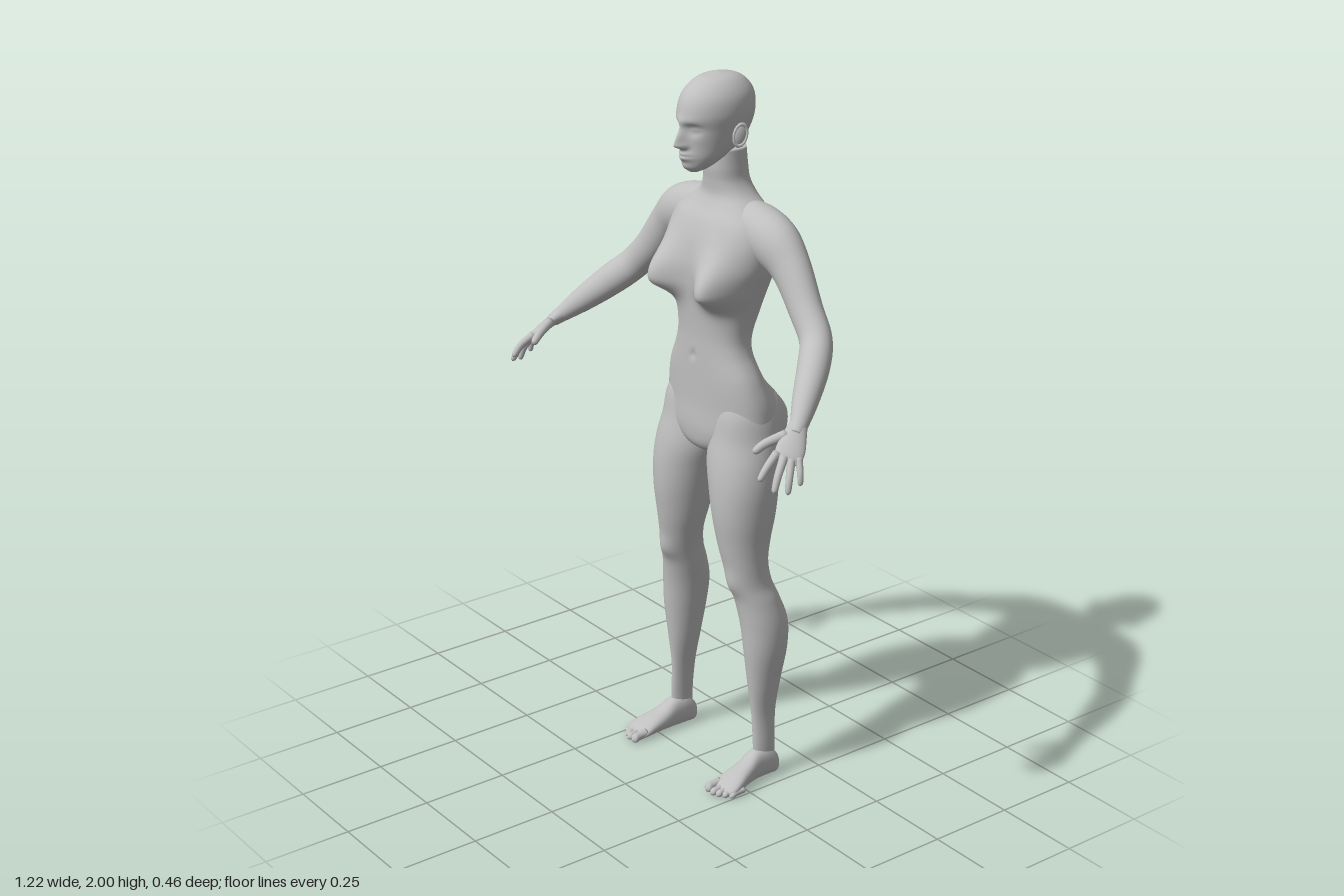
import * as THREE from 'three';

const skin = new THREE.MeshStandardMaterial({ color: 0xbfbfbf });
skin.name = 'skin grey';
const X = new THREE.Vector3(1, 0, 0), Y = new THREE.Vector3(0, 1, 0), Z = new THREE.Vector3(0, 0, 1);

// Smooth skin through elliptical rings [x, y, z, a, b]; b runs along ref, a across it.
function loft(rings, { axis = null, ref = Z, segs = 32, steps = 6, power = 2 } = {}) {
  const path = new THREE.CatmullRomCurve3(rings.map(r => new THREE.Vector3(r[0], r[1], r[2])), false, 'catmullrom');
  const size = new THREE.CatmullRomCurve3(rings.map(r => new THREE.Vector3(r[3], r[4], 0)), false, 'catmullrom');
  const n = (rings.length - 1) * steps, pos = [], idx = [];
  const bend = c => Math.sign(c) * Math.pow(Math.abs(c), 2 / power);
  for (let i = 0; i <= n; i++) {
    const c = path.getPoint(i / n), s = size.getPoint(i / n);
    const t = axis || path.getTangent(i / n);
    const v = ref.clone().addScaledVector(t, -ref.dot(t)).normalize();
    const u = v.clone().cross(t);
    for (let j = 0; j < segs; j++) {
      const w = j / segs * Math.PI * 2;
      const p = c.clone().addScaledVector(u, Math.max(s.x, 0.001) * bend(Math.cos(w)))
        .addScaledVector(v, Math.max(s.y, 0.001) * bend(Math.sin(w)));
      pos.push(p.x, p.y, p.z);
      if (i < n) {
        const a = i * segs + j, b = i * segs + (j + 1) % segs;
        idx.push(a, b, b + segs, a, b + segs, a + segs);
      }
    }
  }
  // Close both ends
  const base = pos.length / 3, last = n * segs;
  pos.push(...path.getPoint(0).toArray(), ...path.getPoint(1).toArray());
  for (let j = 0; j < segs; j++) {
    const k = (j + 1) % segs;
    idx.push(base, k, j, base + 1, last + j, last + k);
  }
  const geo = new THREE.BufferGeometry();
  geo.setAttribute('position', new THREE.Float32BufferAttribute(pos, 3));
  geo.setIndex(idx);
  geo.computeVertexNormals();
  return geo;
}

// Horizontal ring from its left/right and back/front limits
const ring = (y, x0, x1, back, front) => [(x0 + x1) / 2, y, (back + front) / 2, (x1 - x0) / 2, (front - back) / 2];
const midRing = (y, half, back, front) => ring(y, -half, half, back, front);

// Soft mirrored swellings: centre, size [x, up, down, z], push
function sculpt(geo, bumps) {
  const p = geo.attributes.position;
  for (const { at, size, push } of bumps) {
    for (let i = 0; i < p.count; i++) {
      const x = p.getX(i), y = p.getY(i), z = p.getZ(i);
      const dx = (Math.abs(x) - at[0]) / size[0], dz = (z - at[2]) / size[3];
      const dy = (y - at[1]) / (y > at[1] ? size[1] : size[2]);
      const k = Math.exp(-dx * dx - dy * dy - dz * dz);
      p.setXYZ(i, x + Math.sign(x) * k * push[0], y + k * push[1], z + k * push[2]);
    }
  }
  geo.computeVertexNormals();
  return geo;
}

function mirrored(geo) {
  const g = geo.clone().scale(-1, 1, 1), a = g.index.array;
  for (let i = 0; i < a.length; i += 3) [a[i], a[i + 1]] = [a[i + 1], a[i]];
  g.computeVertexNormals();
  return g;
}

export function createModel() {
  const body = new THREE.Group();
  body.name = 'figure';
  const add = (name, geo) => {
    const m = new THREE.Mesh(geo, skin);
    m.name = name;
    body.add(m);
  };
  const pair = (name, geo) => {
    add('left ' + name, geo);
    add('right ' + name, mirrored(geo));
  };
  const glutes = { at: [0.087, 1.05, -0.18], size: [0.065, 0.085, 0.08, 0.1], push: [0, 0, -0.052] };

  // Torso and neck
  add('torso', sculpt(loft([
    midRing(0.94, 0.015, -0.1, -0.05), midRing(0.97, 0.1, -0.15, 0),
    midRing(1.02, 0.182, -0.18, 0.014), midRing(1.1, 0.19, -0.182, 0.012),
    midRing(1.18, 0.168, -0.15, 0.012), midRing(1.25, 0.132, -0.135, 0.012),
    midRing(1.3, 0.123, -0.142, 0.012), midRing(1.37, 0.135, -0.167, 0.016),
    midRing(1.44, 0.158, -0.187, 0.02), midRing(1.5, 0.178, -0.197, 0.022),
    midRing(1.56, 0.182, -0.198, 0.013), midRing(1.61, 0.165, -0.192, -0.005),
    midRing(1.645, 0.125, -0.183, -0.028), midRing(1.675, 0.085, -0.172, -0.042),
    midRing(1.71, 0.063, -0.16, -0.042), midRing(1.75, 0.058, -0.155, -0.038),
    midRing(1.8, 0.055, -0.15, -0.04),
  ], { axis: Y, segs: 96, steps: 8, power: 2.2 }), [
    glutes,
    { at: [0.1, 1.44, 0.01], size: [0.056, 0.085, 0.045, 0.09], push: [0.014, -0.005, 0.075] }, // bust
    { at: [0.085, 1.53, -0.19], size: [0.05, 0.07, 0.08, 0.06], push: [0, 0, -0.008] }, // shoulder blades
    { at: [0, 1.38, -0.17], size: [0.025, 0.2, 0.22, 0.06], push: [0, 0, 0.01] }, // spine furrow
    { at: [0, 1.235, 0.012], size: [0.008, 0.012, 0.01, 0.03], push: [0, 0, -0.007] }, // navel
  ]));

  // Head with sculpted face
  add('head', sculpt(loft([
    midRing(1.745, 0.012, -0.01, 0.018), midRing(1.758, 0.034, -0.04, 0.031),
    midRing(1.785, 0.054, -0.09, 0.038), midRing(1.82, 0.067, -0.14, 0.04),
    midRing(1.86, 0.077, -0.168, 0.043), midRing(1.9, 0.084, -0.178, 0.047),
    midRing(1.94, 0.08, -0.175, 0.036), midRing(1.97, 0.064, -0.157, 0.012),
    midRing(1.99, 0.04, -0.127, -0.022), midRing(2, 0.002, -0.077, -0.07),
  ], { axis: Y, segs: 128, steps: 10 }), [
    { at: [0, 1.885, 0.045], size: [0.05, 0.012, 0.012, 0.04], push: [0, 0, 0.004] }, // brow
    { at: [0.032, 1.866, 0.035], size: [0.02, 0.012, 0.016, 0.04], push: [0, 0, -0.013] }, // eye sockets
    { at: [0.033, 1.865, 0.022], size: [0.014, 0.008, 0.008, 0.03], push: [0, 0, 0.007] }, // closed eyes
    { at: [0, 1.822, 0.045], size: [0.012, 0.042, 0.011, 0.05], push: [0, 0, 0.03] }, // nose
    { at: [0.011, 1.819, 0.045], size: [0.008, 0.01, 0.007, 0.05], push: [0, 0, 0.009] }, // nostrils
    { at: [0, 1.791, 0.04], size: [0.024, 0.014, 0.014, 0.04], push: [0, 0, 0.014] }, // lips
    { at: [0, 1.792, 0.05], size: [0.024, 0.0035, 0.0035, 0.03], push: [0, 0, -0.006] }, // mouth line
    { at: [0, 1.762, 0.03], size: [0.022, 0.012, 0.012, 0.04], push: [0, 0, 0.006] }, // chin
  ]));

  // Ears: a flat shell with a raised rim
  const tilt = g => g.rotateX(-0.2).rotateY(-0.35).translate(0.086, 1.847, -0.077);
  pair('ear', tilt(new THREE.SphereGeometry(1, 20, 14).scale(0.008, 0.03, 0.018)));
  pair('ear rim', tilt(new THREE.TorusGeometry(0.026, 0.005, 8, 28).rotateY(Math.PI / 2)
    .scale(1, 1.1, 0.68).translate(0.004, 0, 0)));

  // Arms, shoulder to wrist
  pair('arm', loft([
    [0.03, 1.6, -0.115, 0.05, 0.05], [0.08, 1.598, -0.115, 0.067, 0.066],
    [0.14, 1.588, -0.115, 0.074, 0.068], [0.205, 1.568, -0.112, 0.071, 0.062],
    [0.265, 1.52, -0.11, 0.058, 0.05], [0.335, 1.435, -0.1, 0.049, 0.043],
    [0.395, 1.372, -0.085, 0.046, 0.042], [0.44, 1.323, -0.042, 0.045, 0.042],
    [0.488, 1.265, 0.022, 0.036, 0.035], [0.526, 1.218, 0.075, 0.023, 0.024],
    [0.54, 1.2, 0.098, 0.018, 0.02],
  ], { segs: 48, steps: 8 }));

  // Palms
  pair('palm', loft([
    [0.515, 1.231, 0.06, 0.02, 0.02], [0.526, 1.218, 0.077, 0.02, 0.024],
    [0.541, 1.198, 0.101, 0.016, 0.031], [0.556, 1.175, 0.125, 0.014, 0.037],
    [0.566, 1.158, 0.143, 0.011, 0.035], [0.57, 1.15, 0.151, 0.003, 0.028],
  ], { ref: new THREE.Vector3(0.62, -0.15, -0.77) }));

  // Fingers: knuckle, middle joint, tip, radius
  const digits = {
    thumb: [[0.527, 1.203, 0.115], [0.506, 1.184, 0.165], [0.494, 1.162, 0.197], 0.012],
    'index finger': [[0.544, 1.169, 0.16], [0.553, 1.144, 0.198], [0.555, 1.112, 0.226], 0.01],
    'middle finger': [[0.561, 1.162, 0.151], [0.58, 1.126, 0.185], [0.59, 1.086, 0.206], 0.01],
    'ring finger': [[0.574, 1.156, 0.138], [0.594, 1.118, 0.16], [0.603, 1.078, 0.172], 0.0095],
    'little finger': [[0.582, 1.158, 0.121], [0.6, 1.126, 0.13], [0.606, 1.094, 0.134], 0.0085],
  };
  for (const [name, [k, m, t, r]] of Object.entries(digits)) {
    const near = m.map((c, i) => c + (t[i] - c) * 0.8);
    pair(name, loft([[...k, r * 1.15, r * 1.15], [...m, r, r], [...near, r * 0.8, r * 0.8], [...t, 0.001, 0.001]],
      { ref: X, segs: 14 }));
  }

  // Legs, ankle to hip
  pair('leg', sculpt(loft([
    ring(0.03, 0.172, 0.212, -0.13, -0.065), ring(0.1, 0.172, 0.212, -0.13, -0.058),
    ring(0.2, 0.164, 0.208, -0.135, -0.056), ring(0.3, 0.146, 0.222, -0.15, -0.046),
    ring(0.4, 0.13, 0.238, -0.167, -0.036), ring(0.48, 0.117, 0.238, -0.17, -0.03),
    ring(0.55, 0.106, 0.224, -0.15, -0.02), ring(0.6, 0.1, 0.209, -0.132, -0.005),
    ring(0.66, 0.086, 0.205, -0.124, 0.006), ring(0.72, 0.069, 0.207, -0.134, 0.017),
    ring(0.8, 0.05, 0.216, -0.152, 0.028), ring(0.88, 0.031, 0.221, -0.162, 0.03),
    ring(0.95, 0.013, 0.216, -0.167, 0.024), ring(1.02, 0.01, 0.203, -0.186, 0.011),
    ring(1.1, 0.028, 0.183, -0.17, -0.003), ring(1.17, 0.07, 0.13, -0.13, -0.04),
  ], { axis: Y, segs: 64, steps: 8 }), [
    glutes,
    { at: [0.152, 0.605, -0.005], size: [0.03, 0.035, 0.03, 0.03], push: [0, 0, 0.006] }, // kneecap
  ]));

  // Feet, heel to ball
  pair('foot', loft([
    [0.192, 0.03, -0.142, 0.006, 0.012], [0.192, 0.034, -0.13, 0.024, 0.032],
    [0.192, 0.046, -0.1, 0.028, 0.045], [0.193, 0.046, -0.06, 0.029, 0.045],
    [0.197, 0.034, -0.02, 0.034, 0.033], [0.203, 0.025, 0.02, 0.041, 0.024],
    [0.205, 0.017, 0.05, 0.044, 0.016], [0.202, 0.012, 0.068, 0.036, 0.009],
    [0.2, 0.011, 0.074, 0.02, 0.004],
  ], { axis: Z, ref: Y, power: 2.3 }));

  // Toes: x, tip z, radius
  [[0.175, 0.1, 0.013], [0.198, 0.1, 0.01], [0.215, 0.093, 0.0095], [0.23, 0.082, 0.009], [0.244, 0.068, 0.0085]]
    .forEach(([x, z, r], i) => pair('toe ' + (i + 1), loft([
      [x, r + 0.005, z - 0.05, r, r], [x, r + 0.003, z - 0.024, r * 0.9, r],
      [x, r, z - 0.008, r, r], [x, r * 0.8, z, 0.001, 0.001],
    ], { axis: Z, ref: Y, segs: 14 })));

  return body;
}
